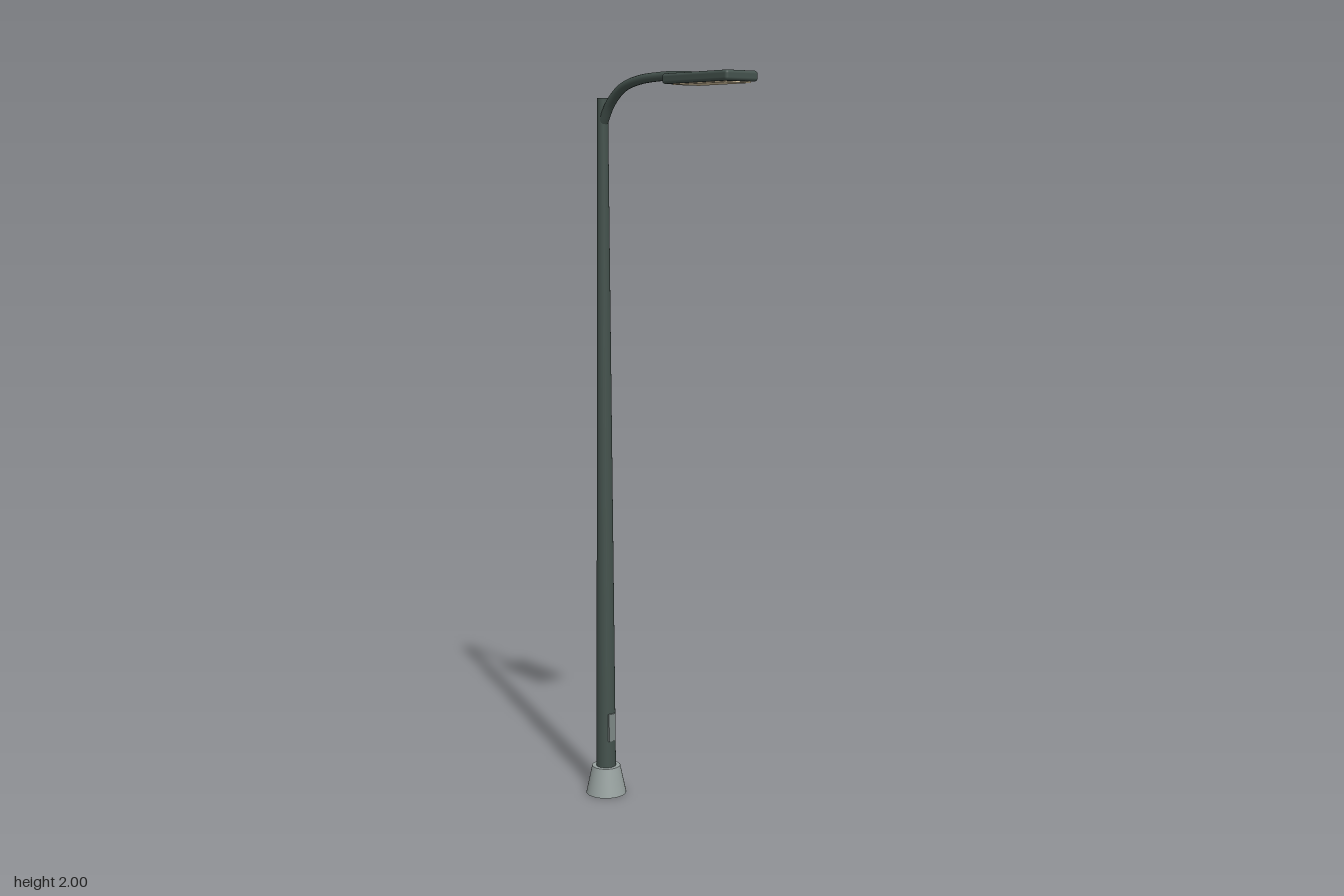
import * as THREE from 'three';
import { RoundedBoxGeometry } from 'three/addons/geometries/RoundedBoxGeometry.js';

const POLE_Z = -0.257;

export function createModel() {
  const model = new THREE.Group();
  model.name = 'streetLight';

  const material = (name, color) => {
    const m = new THREE.MeshStandardMaterial({ color });
    m.name = name;
    return m;
  };
  const paint = material('dark green grey paint', 0x44524d);
  const concrete = material('concrete', 0x98a2a0);
  const panel = material('panel grey', 0x7d8886);
  const glass = material('warm lens', 0xd8c6a4);

  const add = (name, geometry, mat, x, y, z) => {
    const mesh = new THREE.Mesh(geometry, mat);
    mesh.name = name;
    mesh.position.set(x, y, z);
    model.add(mesh);
    return mesh;
  };

  // Conical footing and tapered pole
  add('footing', new THREE.CylinderGeometry(0.04, 0.057, 0.08, 32), concrete, 0, 0.04, POLE_Z);
  add('pole', new THREE.CylinderGeometry(0.0145, 0.028, 1.9, 24), paint, 0, 0.99, POLE_Z);

  // Access door low on the front of the pole
  add('accessDoor', new THREE.BoxGeometry(0.022, 0.08, 0.008), panel, 0, 0.197, POLE_Z + 0.026);

  // Curved arm, narrowing toward the lamp head
  const path = new THREE.CatmullRomCurve3([
    [1.872, POLE_Z], [1.925, -0.222], [1.963, -0.17], [1.981, -0.1],
    [1.987, 0], [1.987, 0.06], [1.983, 0.133],
  ].map(([y, z]) => new THREE.Vector3(0, y, z)));
  const steps = 40, sides = 14;
  const armRadius = (t) => 0.0135 - 0.0025 * t;
  const arm = new THREE.TubeGeometry(path, steps, 1, sides);
  const pos = arm.attributes.position;
  const v = new THREE.Vector3();
  for (let i = 0; i <= steps; i++) {
    const centre = path.getPointAt(i / steps);
    for (let j = 0; j <= sides; j++) {
      const k = i * (sides + 1) + j;
      v.fromBufferAttribute(pos, k).sub(centre).multiplyScalar(armRadius(i / steps)).add(centre);
      pos.setXYZ(k, v.x, v.y, v.z);
    }
  }
  add('arm', arm, paint, 0, 0, 0);

  // Discs closing both ends of the arm
  for (const t of [0, 1]) {
    const end = path.getPointAt(t);
    const cap = add('armCap', new THREE.CircleGeometry(armRadius(t), sides), paint, end.x, end.y, end.z);
    const outward = path.getTangentAt(t).multiplyScalar(t ? 1 : -1);
    cap.quaternion.setFromUnitVectors(new THREE.Vector3(0, 0, 1), outward);
  }

  // Flat lamp head with a lens underneath
  add('lampHead', new RoundedBoxGeometry(0.104, 0.026, 0.252, 3, 0.008), paint, 0, 1.977, 0.186);
  add('lens', new THREE.BoxGeometry(0.084, 0.004, 0.2), glass, 0, 1.963, 0.195);

  return model;
}
